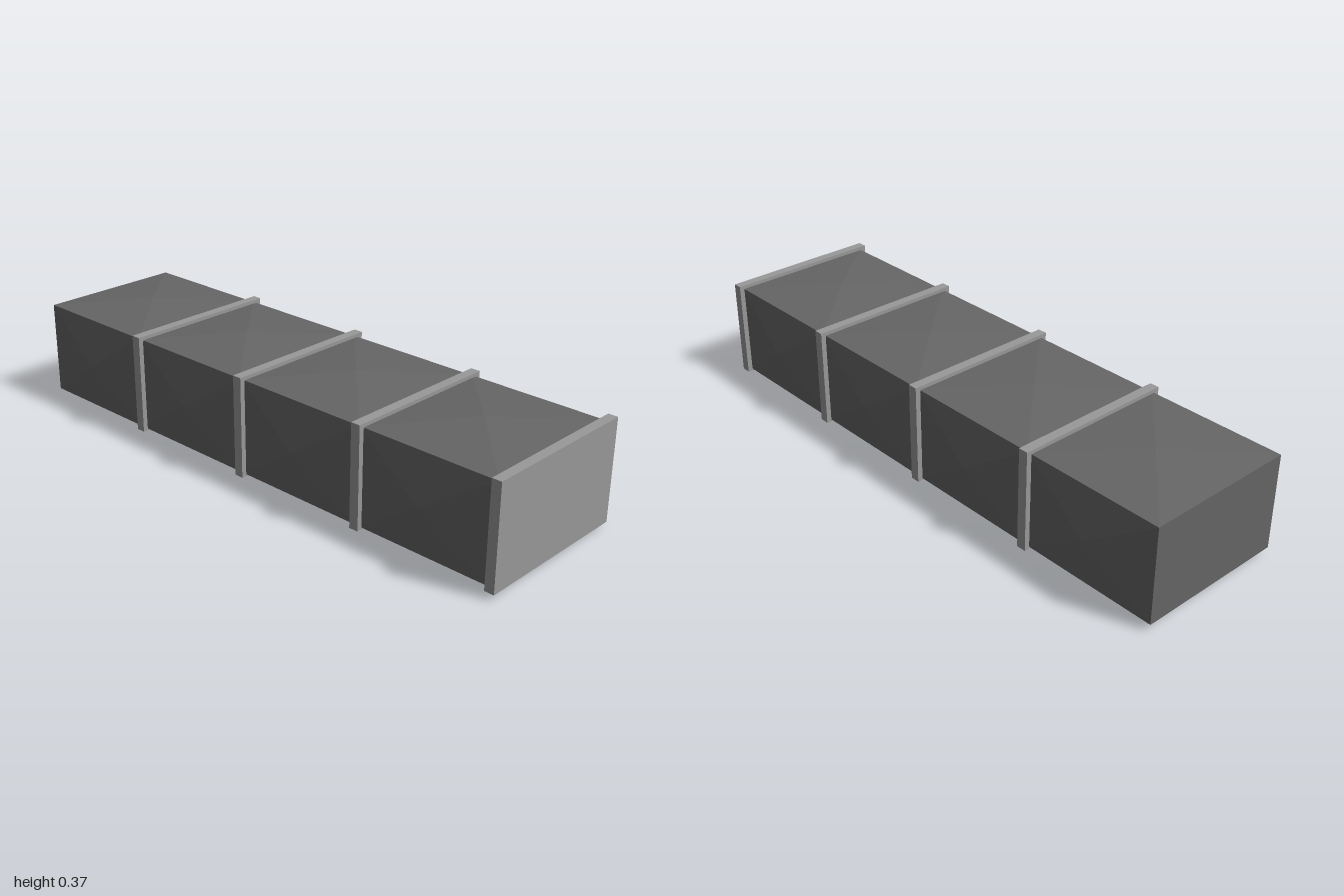
import * as THREE from 'three';

const COUNT = 4, PITCH = 0.4965;
const CENTRE_Y = 0.187;
const HALF = { x: 0.2435, y: 0.164, z: 0.264 };   // duct section half sizes
const PEAK = { y: 0.187, z: 0.2945 };             // raised middle of each panel
const FLANGE = { width: 0.033, height: 0.347, depth: 0.566 };

// Duct section: four shallow pyramid panels around a box with flat ends
function sectionGeometry() {
  const { x, y, z } = HALF;
  const ring = [[y, z], [y, -z], [-y, -z], [-y, z]];
  const peaks = [[PEAK.y, 0], [0, -PEAK.z], [-PEAK.y, 0], [0, PEAK.z]];
  const pos = [];
  const tri = (...corners) => corners.forEach((c) => pos.push(...c));
  for (let i = 0; i < 4; i++) {
    const a = ring[i], b = ring[(i + 1) % 4];
    const quad = [[-x, ...a], [x, ...a], [x, ...b], [-x, ...b]];
    for (let k = 0; k < 4; k++) tri(quad[k], quad[(k + 1) % 4], [0, ...peaks[i]]);
  }
  for (const s of [-1, 1]) {
    const c = ring.map((p) => [s * x, ...p]);
    if (s < 0) c.reverse();
    tri(c[0], c[2], c[1]);
    tri(c[0], c[3], c[2]);
  }
  const geo = new THREE.BufferGeometry();
  geo.setAttribute('position', new THREE.Float32BufferAttribute(pos, 3));
  // Make every triangle wind outward from the convex centre
  const p = geo.attributes.position;
  const a = new THREE.Vector3(), b = new THREE.Vector3(), c = new THREE.Vector3();
  for (let i = 0; i < p.count; i += 3) {
    a.fromBufferAttribute(p, i);
    b.fromBufferAttribute(p, i + 1);
    c.fromBufferAttribute(p, i + 2);
    const n = b.clone().sub(a).cross(c.clone().sub(a));
    if (n.dot(a) < 0) {
      p.setXYZ(i + 1, c.x, c.y, c.z);
      p.setXYZ(i + 2, b.x, b.y, b.z);
    }
  }
  geo.computeVertexNormals();
  return geo;
}

export function createModel() {
  const darkMetal = new THREE.MeshStandardMaterial({ color: 0x666666 });
  darkMetal.name = 'dark metal';
  const lightMetal = new THREE.MeshStandardMaterial({ color: 0x999999 });
  lightMetal.name = 'light metal';

  const model = new THREE.Group();
  model.name = 'duct';
  const section = sectionGeometry();
  const flange = new THREE.BoxGeometry(FLANGE.width, FLANGE.height, FLANGE.depth);

  const add = (geo, mat, name, x, y) => {
    const mesh = new THREE.Mesh(geo, mat);
    mesh.name = name;
    mesh.position.set(x, y, 0);
    model.add(mesh);
  };

  // Each section carries a flange on its +x end
  for (let i = 0; i < COUNT; i++) {
    add(section, darkMetal, `ductSection${i + 1}`, -1 + HALF.x + PITCH * i, CENTRE_Y);
    add(flange, lightMetal, `flange${i + 1}`,
      1 - FLANGE.width / 2 - PITCH * (COUNT - 1 - i), 0.191);
  }
  return model;
}
